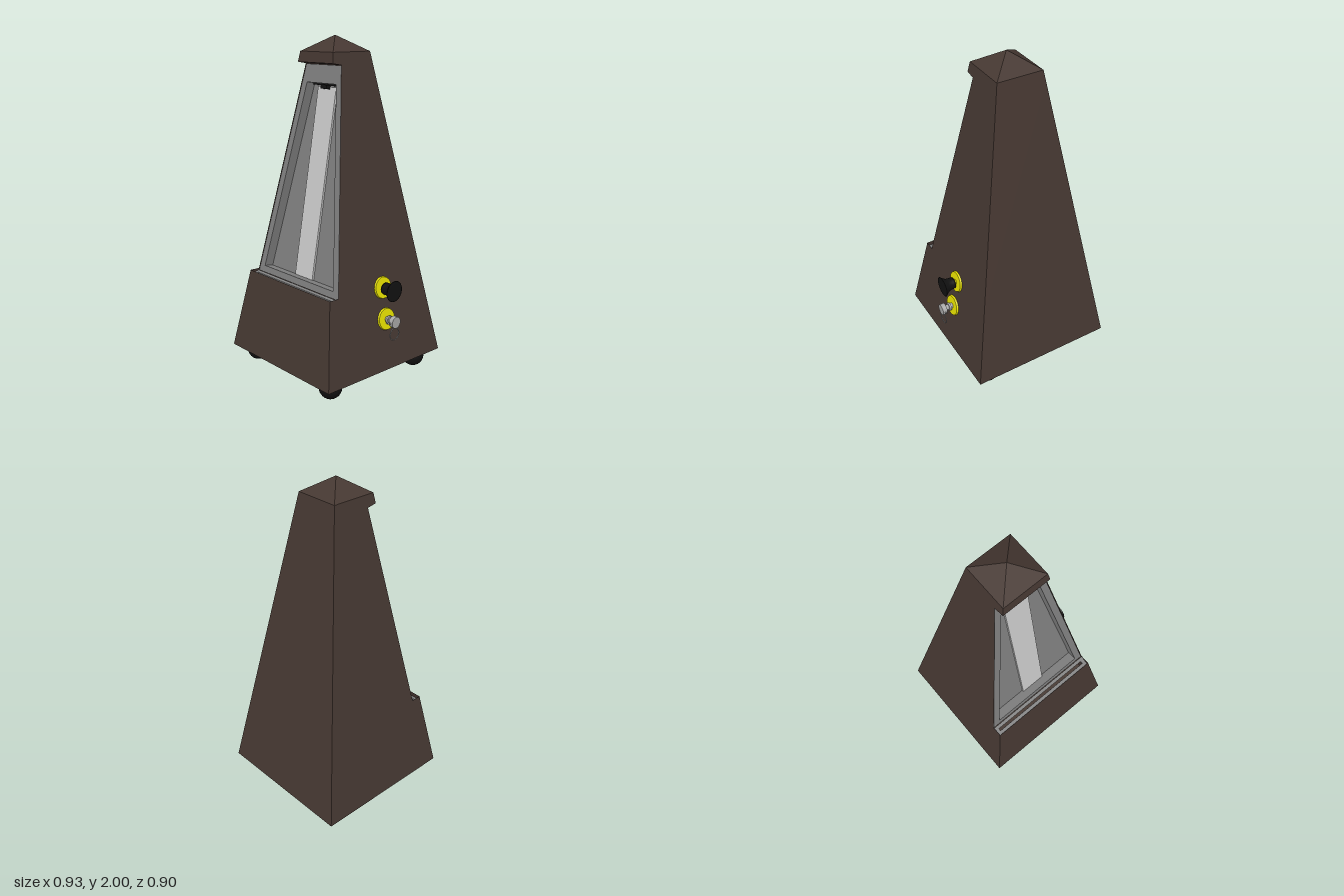
import * as THREE from 'three';

const mat = (color, flat = false) =>
  new THREE.MeshStandardMaterial({ color, flatShading: flat, side: THREE.DoubleSide });

function add(parent, name, geometry, material, x = 0, y = 0, z = 0) {
  const mesh = new THREE.Mesh(geometry, material);
  mesh.name = name;
  mesh.position.set(x, y, z);
  parent.add(mesh);
  return mesh;
}

// Half width of the tapering case at height y
const half = (y) => 0.45 - 0.1722 * (y - 0.11);

// Case: four-cornered rings, each [front y, front z, back y]
function caseGeometry() {
  const rings = [
    [0.11, 0.45, 0.11], [0.598, half(0.598), 0.59], [0.585, 0.305, 0.59],
    [1.84, 0.09, 1.845], [1.85, 0.15, 1.845], [1.91, half(1.91), 1.91],
  ].map(([yf, zf, yb]) => {
    const f = half(yf), b = half(yb);
    return [[f, yf, zf], [b, yb, -b], [-b, yb, -b], [-f, yf, zf]];
  });
  rings.push(Array(4).fill([0, 2, 0]));
  const pos = [];
  const quad = (a, b, c, d) => pos.push(...a, ...b, ...c, ...a, ...c, ...d);
  for (let i = 0; i < rings.length - 1; i++) {
    for (let k = 0; k < 4; k++) {
      if (k === 3 && (i === 1 || i === 2)) continue; // open front
      const n = (k + 1) % 4;
      quad(rings[i][k], rings[i][n], rings[i + 1][n], rings[i + 1][k]);
    }
  }
  const [a, b, c, d] = rings[0];
  quad(d, c, b, a); // underside
  const g = new THREE.BufferGeometry();
  g.setAttribute('position', new THREE.Float32BufferAttribute(pos, 3));
  g.computeVertexNormals();
  return g;
}

// Symmetric trapezoid outline
const trapezoid = (w0, y0, w1, y1) =>
  [[-w0, y0], [w0, y0], [w1, y1], [-w1, y1]].map(([x, y]) => new THREE.Vector2(x, y));

function holedPlate(outer, inner, depth) {
  const shape = new THREE.Shape(outer);
  shape.holes.push(new THREE.Path(inner));
  return new THREE.ExtrudeGeometry(shape, { depth, bevelEnabled: false }).translate(0, 0, -depth);
}

const lathe = (points, n = 32) =>
  new THREE.LatheGeometry(points.map(([r, y]) => new THREE.Vector2(r, y)), n);

export function createModel() {
  const model = new THREE.Group();
  model.name = 'metronome';
  const wood = mat(0x463832, true);
  const black = mat(0x121212);
  const grey = mat(0x808080, true);
  const pale = mat(0xcccccc, true);
  const brass = mat(0xe6e000);
  const steel = mat(0xaaaaaa);
  const tilt = 0.17;

  const body = new THREE.Group();
  body.name = 'body';
  body.position.x = -0.02;
  model.add(body);
  add(body, 'case', caseGeometry(), wood);

  // Ball feet
  for (const sx of [-1, 1]) for (const sz of [-1, 1]) {
    const y = sx > 0 ? (sz < 0 ? 0.067 : 0.075) : 0.085;
    add(body, 'foot', new THREE.SphereGeometry(0.067, 28, 18), black, sx * 0.34, y, sz * 0.34);
  }

  // Slotted ledge in front of the window
  const ledge = add(body, 'ledge', holedPlate(
    trapezoid(0.365, -0.061, 0.367, 0), trapezoid(0.343, -0.037, 0.343, -0.021), 0.02), grey, 0, 0.585, 0.305);
  ledge.rotation.x = -Math.PI / 2 + 0.2;

  // Sloping window: frame, back panel, scale strip and pendulum clip
  const face = new THREE.Group();
  face.name = 'window';
  face.position.set(0, 0.585, 0.302);
  face.rotation.x = -tilt;
  body.add(face);
  add(face, 'frame', holedPlate(
    trapezoid(0.364, 0, 0.149, 1.271), trapezoid(0.313, 0.04, 0.125, 1.167), 0.06), grey);
  add(face, 'backPanel', new THREE.ShapeGeometry(
    new THREE.Shape(trapezoid(0.33, 0.01, 0.13, 1.2))), grey, 0, 0, -0.059);
  add(face, 'scaleStrip', new THREE.BoxGeometry(0.155, 1.11, 0.012), pale, 0, 0.597, -0.053);
  add(face, 'clipBar', new THREE.BoxGeometry(0.24, 0.008, 0.012), black, 0, 1.163, -0.05);
  add(face, 'pendulumClip', new THREE.BoxGeometry(0.05, 0.022, 0.03), black, 0, 1.15, -0.035);

  // Fittings on the side, each with its axis along +x
  function fitting(name, y) {
    const g = new THREE.Group();
    g.name = name;
    g.position.set(half(y) - 0.02, y, -0.035);
    g.rotation.z = -Math.PI / 2;
    model.add(g);
    const disc = add(g, name + 'Disc', new THREE.CylinderGeometry(0.062, 0.066, 0.014, 36), brass, 0, 0.004, 0);
    disc.rotation.z = tilt;
    return g;
  }

  const knob = fitting('knob', 0.585);
  add(knob, 'knobStem', new THREE.CylinderGeometry(0.016, 0.016, 0.04, 20), brass, 0, 0.015, 0);
  add(knob, 'knobGrip', lathe([[0, 0.022], [0.034, 0.022], [0.036, 0.035], [0.035, 0.05],
    [0.04, 0.066], [0.048, 0.08], [0.062, 0.096], [0.058, 0.097], [0, 0.097]]), black);

  const key = fitting('key', 0.402);
  add(key, 'keyStem', new THREE.CylinderGeometry(0.017, 0.017, 0.06, 20), steel, 0, 0.03, 0);
  add(key, 'keyCollar', new THREE.CylinderGeometry(0.026, 0.026, 0.012, 24), steel, 0, 0.03, 0);
  add(key, 'keyHead', new THREE.CylinderGeometry(0.034, 0.034, 0.028, 24), steel, 0, 0.071, 0);
  const pin = add(key, 'keyPin', new THREE.CylinderGeometry(0.004, 0.004, 0.08, 8), steel, 0, 0.071, 0);
  pin.rotation.x = Math.PI / 2;
  const ring = add(key, 'keyRing', new THREE.TorusGeometry(0.036, 0.003, 8, 36), steel, 0.073, 0.071, 0);
  ring.rotation.x = Math.PI / 2;

  return model;
}
